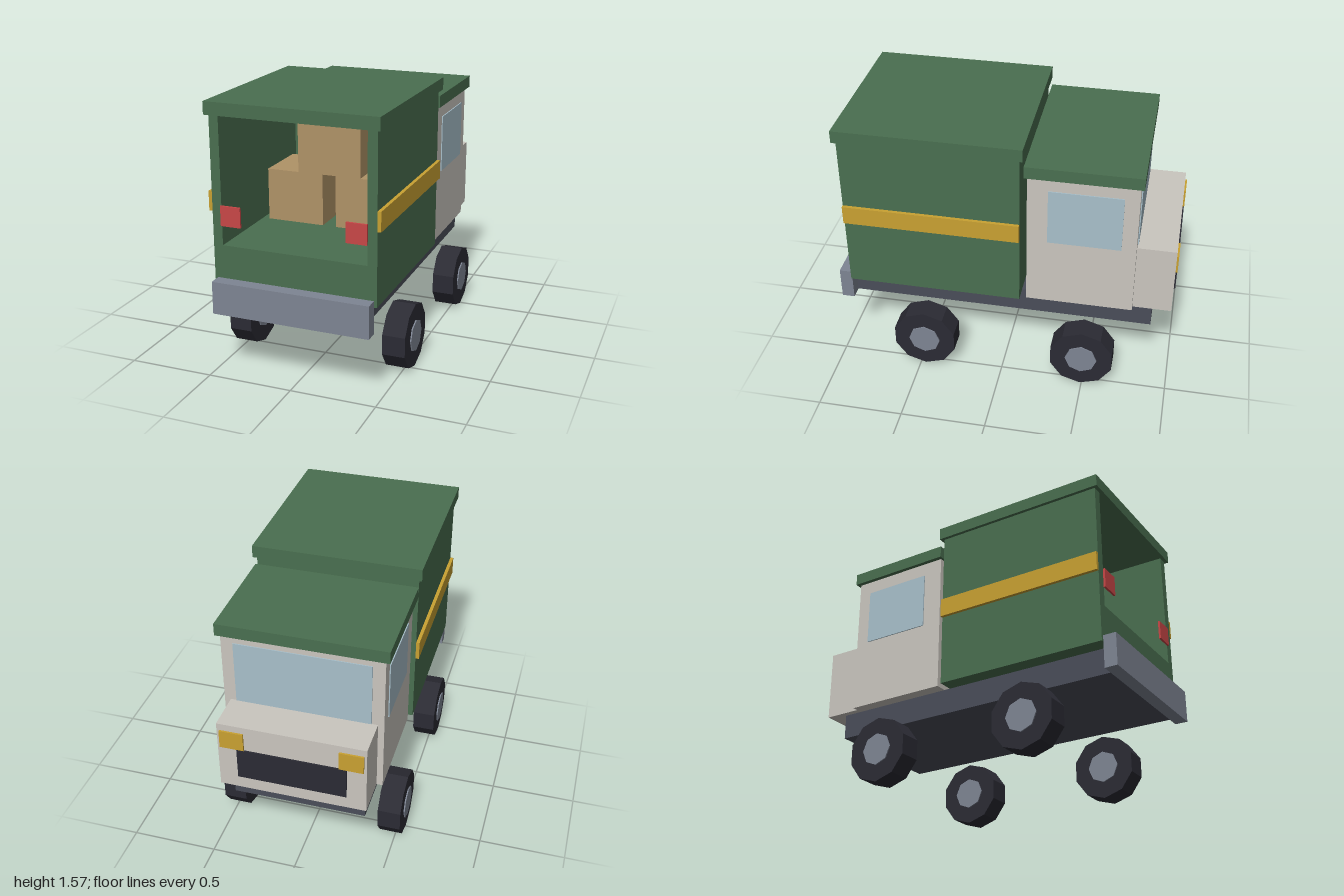
import * as THREE from 'three';

const mat = (name, color) => {
  const m = new THREE.MeshStandardMaterial({ color });
  m.name = name;
  m.flatShading = true;
  return m;
};

export function createModel() {
  const green = mat('green paint', 0x4a6f50);
  const cream = mat('cream paint', 0xcac6bf);
  const steel = mat('grey steel', 0x7e8593);
  const slate = mat('slate chassis', 0x4a4d59);
  const black = mat('black rubber', 0x2b2b34);
  const gold = mat('gold trim', 0xc9a132);
  const glass = mat('pale glass', 0xa8c0cb);
  const red = mat('red lamp', 0xc94747);
  const card = mat('cardboard', 0xb09367);

  const truck = new THREE.Group();
  truck.name = 'deliveryTruck';

  // Box given by its extents along each axis
  const box = (name, m, [x0, x1], [y0, y1], [z0, z1], parent = truck) => {
    const mesh = new THREE.Mesh(new THREE.BoxGeometry(x1 - x0, y1 - y0, z1 - z0), m);
    mesh.position.set((x0 + x1) / 2, (y0 + y1) / 2, (z0 + z1) / 2);
    mesh.name = name;
    parent.add(mesh);
    return mesh;
  };
  // Same box on both sides of x = 0
  const pair = (name, m, [x0, x1], y, z, parent) => {
    box(name + 'Left', m, [x0, x1], y, z, parent);
    box(name + 'Right', m, [-x1, -x0], y, z, parent);
  };

  // Chassis and loading step
  box('chassis', slate, [-0.385, 0.385], [0.39, 0.54], [-0.877, 0.925]);
  box('loadingStep', steel, [-0.46, 0.46], [0.387, 0.577], [0.925, 1]);

  // Cargo body, open at +z
  const cargo = new THREE.Group();
  cargo.name = 'cargoBody';
  truck.add(cargo);
  box('cargoFloor', green, [-0.477, 0.477], [0.54, 0.77], [-0.105, 0.925], cargo);
  pair('cargoWall', green, [0.422, 0.477], [0.77, 1.5], [-0.105, 0.925], cargo);
  box('cargoBulkhead', green, [-0.422, 0.422], [0.77, 1.5], [-0.105, -0.05], cargo);
  box('cargoRoof', green, [-0.497, 0.497], [1.5, 1.573], [-0.126, 0.946], cargo);
  pair('sideStripe', gold, [0.477, 0.497], [0.963, 1.075], [-0.105, 0.925], cargo);
  pair('tailLamp', red, [0.305, 0.424], [0.885, 1.0], [0.925, 0.937], cargo);

  // Stacked parcels
  pair('lowerParcel', card, [0.04, 0.382], [0.77, 1.075], [0.08, 0.425], cargo);
  box('upperParcel', card, [-0.19, 0.19], [1.075, 1.38], [0.08, 0.425], cargo);

  // Cab, hood and their fittings
  const cab = new THREE.Group();
  cab.name = 'cab';
  truck.add(cab);
  box('cabShell', cream, [-0.455, 0.455], [0.54, 1.388], [-0.764, -0.142], cab);
  box('cabRoof', green, [-0.48, 0.48], [1.388, 1.46], [-0.783, -0.128], cab);
  box('hood', cream, [-0.42, 0.42], [0.54, 0.963], [-0.989, -0.764], cab);
  box('windshield', glass, [-0.385, 0.385], [0.965, 1.343], [-0.77, -0.764], cab);
  pair('sideWindow', glass, [0.455, 0.461], [0.963, 1.305], [-0.68, -0.26], cab);
  box('grille', black, [-0.31, 0.31], [0.62, 0.81], [-0.998, -0.989], cab);
  pair('headlamp', gold, [0.268, 0.405], [0.812, 0.922], [-1, -0.989], cab);

  // Wheels: ten-sided tyres with eight-sided hubs
  const tyreGeo = new THREE.CylinderGeometry(0.193, 0.193, 0.135, 10, 1, false, Math.PI / 2).rotateZ(Math.PI / 2);
  const hubGeo = new THREE.CylinderGeometry(0.095, 0.095, 0.15, 8).rotateZ(Math.PI / 2);
  for (const [end, z] of [['rear', 0.469], ['front', -0.49]]) {
    for (const [side, x] of [['Left', 0.477], ['Right', -0.477]]) {
      const wheel = new THREE.Group();
      wheel.name = end + 'Wheel' + side;
      const tyre = new THREE.Mesh(tyreGeo, black);
      tyre.name = 'tyre';
      const hub = new THREE.Mesh(hubGeo, steel);
      hub.name = 'hub';
      wheel.add(tyre, hub);
      wheel.position.set(x, 0.193, z);
      truck.add(wheel);
    }
  }
  return truck;
}
